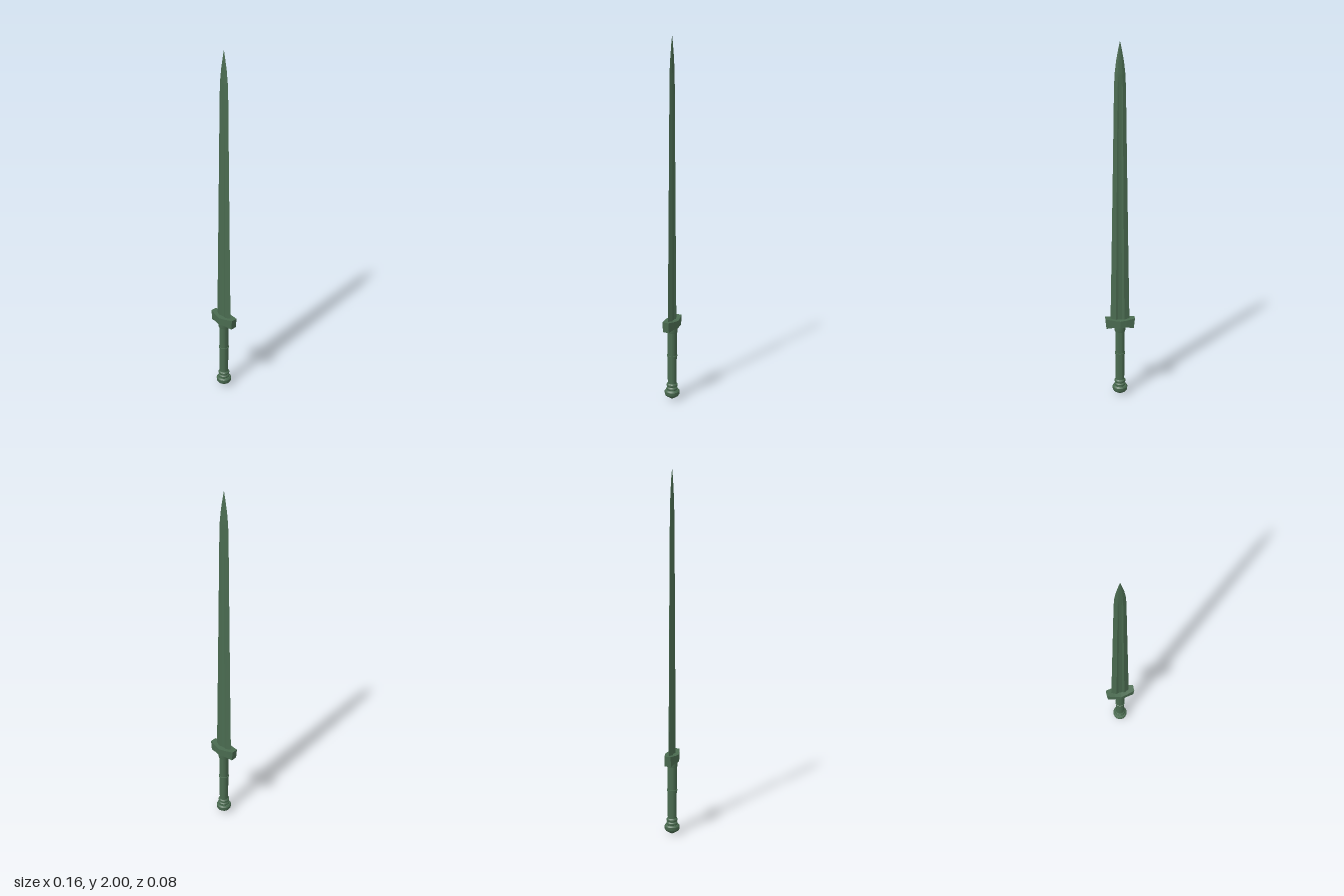
import * as THREE from 'three';
import { toCreasedNormals } from 'three/addons/utils/BufferGeometryUtils.js';

// Skin a list of equal-length rings of [x, y, z] and cap both ends.
function loft(rings) {
  const n = rings[0].length;
  const pos = [];
  const index = [];
  rings.forEach(r => r.forEach(p => pos.push(...p)));
  for (let j = 0; j < rings.length - 1; j++) {
    for (let i = 0; i < n; i++) {
      const a = j * n + i, b = j * n + (i + 1) % n, c = a + n, d = b + n;
      index.push(a, c, b, b, c, d);
    }
  }
  const last = (rings.length - 1) * n;
  for (let i = 1; i < n - 1; i++) {
    index.push(0, i, i + 1, last, last + i + 1, last + i);
  }
  const g = new THREE.BufferGeometry();
  g.setAttribute('position', new THREE.Float32BufferAttribute(pos, 3));
  g.setIndex(index);
  const flat = g.toNonIndexed();
  flat.computeVertexNormals();
  return flat;
}

function lathe(profile) {
  const pts = profile.map(([r, y]) => new THREE.Vector2(r, y));
  return toCreasedNormals(new THREE.LatheGeometry(pts, 16), 0.5);
}

export function createModel() {
  const sword = new THREE.Group();
  sword.name = 'sword';
  const green = new THREE.MeshStandardMaterial({ color: 0x4a6b50 });
  green.name = 'dark green';

  const add = (name, geometry) => {
    const mesh = new THREE.Mesh(geometry, green);
    mesh.name = name;
    sword.add(mesh);
  };

  // Blade: height, half width, half thickness, fuller depth factor
  const stations = [
    [0.44, 0.053, 0.013, 0.6],
    [0.77, 0.047, 0.012, 0.6],
    [1.37, 0.037, 0.010, 0.65],
    [1.75, 0.031, 0.008, 0.8],
    [1.83, 0.028, 0.007, 1.05],
    [1.9, 0.020, 0.005, 1.05],
    [1.96, 0.009, 0.003, 1.05],
    [2.0, 0.0005, 0.0004, 1.05],
  ];
  add('blade', loft(stations.map(([y, w, t, f]) => [
    [w, 0], [0.45 * w, t], [0.2 * w, f * t], [-0.2 * w, f * t], [-0.45 * w, t],
    [-w, 0], [-0.45 * w, -t], [-0.2 * w, -f * t], [0.2 * w, -f * t], [0.45 * w, -t],
  ].map(([x, z]) => [x, y, z]))));

  // Crossguard: top x, bottom x, top y, bottom y, half depth
  const half = [
    [0, 0, 0.462, 0.42, 0.038],
    [0.035, 0.035, 0.464, 0.422, 0.030],
    [0.082, 0.076, 0.47, 0.412, 0.018],
  ];
  const mirrored = half.slice(1).reverse().map(([a, b, ...rest]) => [-a, -b, ...rest]);
  add('crossguard', loft([...mirrored, ...half].map(([xt, xb, yt, yb, z]) => [
    [xb, yb, z], [xt, yt, z], [xt, yt, -z], [xb, yb, -z],
  ])));

  // Collar under the guard
  add('collar', lathe([[0, 0.39], [0.029, 0.39], [0.031, 0.4], [0.031, 0.43], [0, 0.43]]));

  // Grip with a raised middle ring
  add('grip', lathe([[0, 0.08], [0.024, 0.08], [0.026, 0.25], [0.026, 0.395], [0, 0.395]]));
  add('gripRing', lathe([[0.024, 0.25], [0.029, 0.252], [0.029, 0.258], [0.024, 0.26]]));

  // Bands above the pommel
  for (const y of [0.052, 0.074]) {
    add('pommelBand', lathe([[0, y], [0.028, y], [0.031, y + 0.005], [0.031, y + 0.013],
      [0.026, y + 0.019], [0, y + 0.019]]));
  }

  // Pommel with a blunt pointed base
  add('pommel', lathe([[0, 0], [0.012, 0.004], [0.036, 0.02], [0.041, 0.028],
    [0.042, 0.046], [0.036, 0.054], [0, 0.056]]));

  return sword;
}
